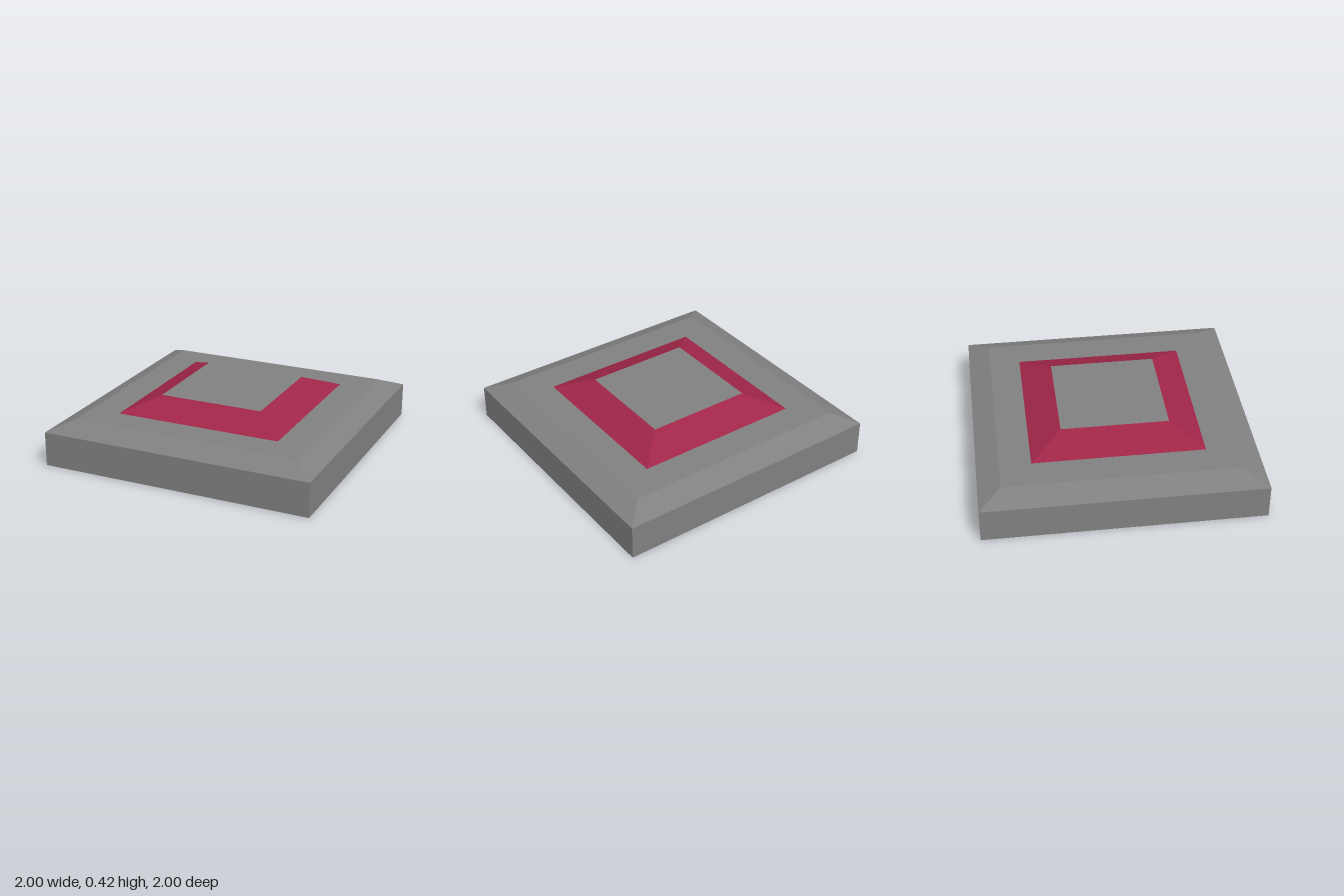
import * as THREE from 'three';

// Square surface swept around y from [halfWidth, height] points, listed bottom to top
function squareSweep(name, profile, material) {
  const points = profile.map(([half, y]) => new THREE.Vector2(half * Math.SQRT2, y));
  const geometry = new THREE.LatheGeometry(points, 4, Math.PI / 4).toNonIndexed();
  geometry.computeVertexNormals();
  const mesh = new THREE.Mesh(geometry, material);
  mesh.name = name;
  return mesh;
}

export function createModel() {
  const grey = new THREE.MeshStandardMaterial({ color: 0x808080 });
  grey.name = 'grey';
  const crimson = new THREE.MeshStandardMaterial({ color: 0xa02648 });
  crimson.name = 'crimson';

  const group = new THREE.Group();
  group.name = 'squarePlate';
  group.add(
    // underside, upright walls, bevelled rim and flat ledge
    squareSweep('base', [[0, 0], [1, 0], [1, 0.25], [0.84, 0.32], [0.615, 0.32]], grey),
    // sloping coloured band around the raised centre
    squareSweep('slopedBand', [[0.615, 0.32], [0.387, 0.42]], crimson),
    // flat raised centre
    squareSweep('centrePanel', [[0.387, 0.42], [0, 0.42]], grey),
  );
  return group;
}
